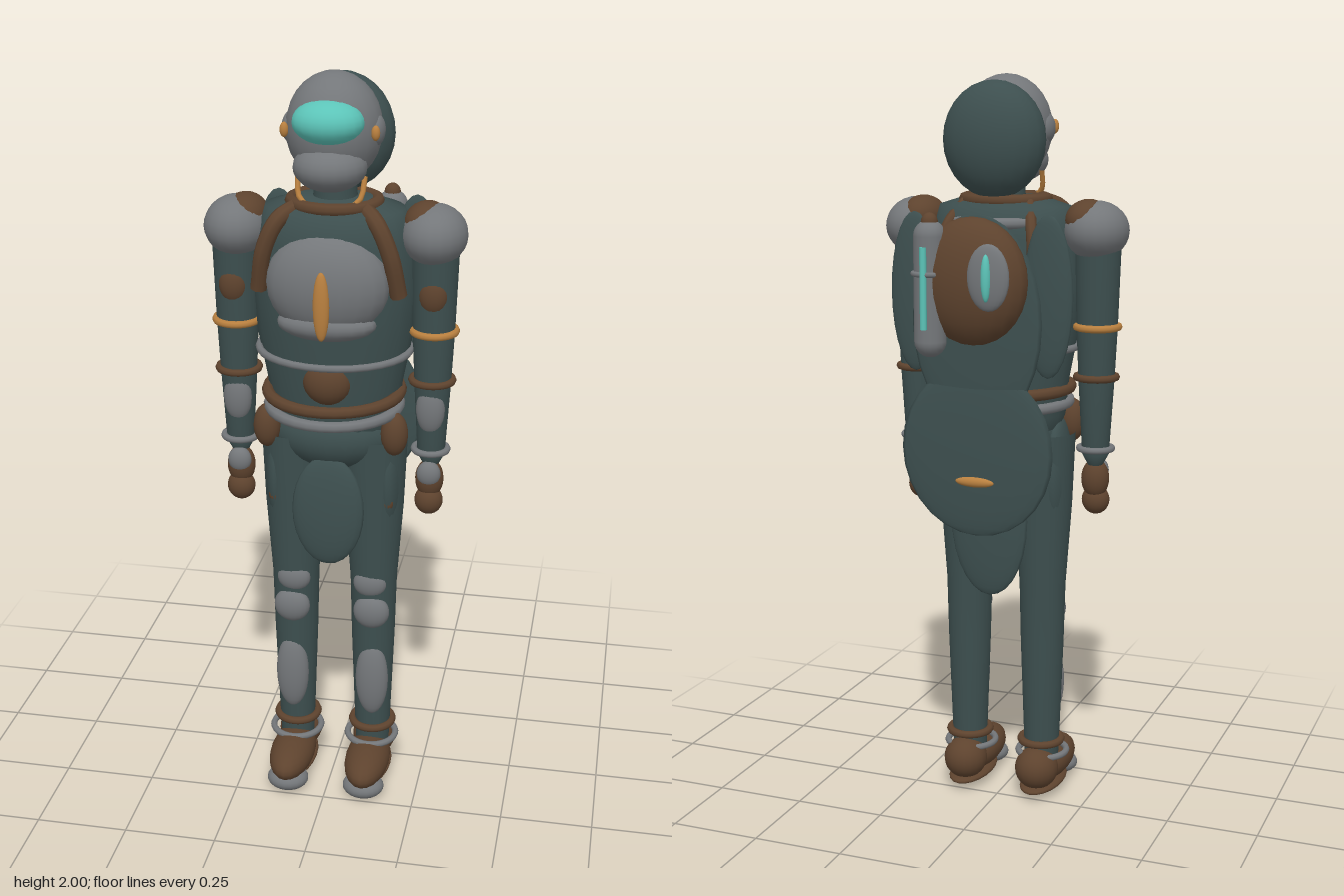
import * as THREE from 'three';

const paint = (name, color) => {
  const m = new THREE.MeshStandardMaterial({ color });
  m.name = name;
  return m;
};

export function createModel() {
  const model = new THREE.Group();
  model.name = 'armouredExplorer';
  const cloth = paint('darkSlate', 0x3d4f4f);
  const steel = paint('steelGrey', 0x74777a);
  const leather = paint('brownLeather', 0x5e432e);
  const brass = paint('brass', 0xb9803f);
  const glass = paint('tealGlass', 0x5cc4b8);

  const add = (name, geo, mat, p = [0, 0, 0]) => {
    const mesh = new THREE.Mesh(geo, mat);
    mesh.name = name;
    mesh.position.set(...p);
    model.add(mesh);
    return mesh;
  };
  // Ellipsoid from centre and radii
  const blob = (name, mat, p, r, tilt = 0) => {
    const m = add(name, new THREE.SphereGeometry(1, 20, 14), mat, p);
    m.scale.set(...r);
    m.rotation.x = tilt;
    return m;
  };
  // Horizontal oval ring
  const ring = (name, mat, p, rx, rz, tube) => {
    const g = new THREE.TorusGeometry(rx, tube, 8, 32).rotateX(Math.PI / 2);
    return add(name, g.scale(1, 1, rz / rx), mat, p);
  };
  // Turned body part from [radius, height] pairs, flattened in depth
  const turned = (name, mat, profile, p, depth = 1) => {
    const pts = profile.map(([r, y]) => new THREE.Vector2(r, y));
    return add(name, new THREE.LatheGeometry(pts, 24).scale(1, 1, depth), mat, p);
  };
  const tube = (name, mat, pts, r) => {
    const curve = new THREE.CatmullRomCurve3(pts.map(p => new THREE.Vector3(...p)));
    return add(name, new THREE.TubeGeometry(curve, 16, r, 8), mat);
  };

  // Head
  blob('helmet', steel, [0, 1.86, 0.07], [0.122, 0.14, 0.12]);
  blob('hood', cloth, [0, 1.832, -0.02], [0.14, 0.152, 0.09]);
  blob('jawGuard', steel, [0, 1.775, 0.125], [0.093, 0.062, 0.093]);
  blob('visor', glass, [0, 1.89, 0.15], [0.09, 0.056, 0.073]);
  turned('neck', cloth, [[0.065, 1.62], [0.055, 1.7], [0.06, 1.78]], [0, 0, 0.055]);

  // Torso
  turned('torso', cloth, [[0, 1.0], [0.14, 1.02], [0.17, 1.1], [0.18, 1.2], [0.205, 1.33], [0.212, 1.45],
    [0.205, 1.58], [0.18, 1.66], [0.1, 1.685], [0, 1.69]], [0, 0, 0.06], 0.7);
  blob('pelvis', cloth, [0, 1.05, 0.07], [0.165, 0.1, 0.115]);
  ring('collar', leather, [0, 1.675, 0.065], 0.11, 0.1, 0.017);
  add('rearCollar', new THREE.TorusGeometry(0.13, 0.015, 8, 20, Math.PI).rotateX(-Math.PI / 2), steel, [0, 1.62, 0.045]);
  tube('neckCord', brass, [[-0.085, 1.75, 0.11], [-0.075, 1.695, 0.135], [0, 1.665, 0.165], [0.075, 1.695, 0.135], [0.085, 1.75, 0.11]], 0.007);
  blob('chestPlate', steel, [0, 1.485, 0.165], [0.158, 0.138, 0.085]);
  blob('ribPlate', steel, [0, 1.385, 0.175], [0.128, 0.045, 0.066]);
  blob('chestOrnament', brass, [0, 1.45, 0.247], [0.021, 0.09, 0.015]);
  blob('bellyPad', leather, [0, 1.225, 0.165], [0.065, 0.065, 0.05]);
  ring('ribBand', steel, [0, 1.285, 0.067], 0.198, 0.172, 0.01);
  ring('belt', leather, [0, 1.17, 0.073], 0.175, 0.178, 0.016);
  ring('lowerBelt', steel, [0, 1.13, 0.071], 0.172, 0.178, 0.015);

  // Skirt flaps
  blob('frontFlap', cloth, [0, 0.855, 0.165], [0.097, 0.155, 0.027], -0.04);
  blob('rearFlap', cloth, [0, 0.825, -0.06], [0.11, 0.215, 0.022]);

  // Cape
  blob('upperCape', cloth, [0, 1.37, -0.148], [0.18, 0.28, 0.018]);
  blob('lowerCape', cloth, [0, 1.03, -0.15], [0.212, 0.23, 0.018]);
  blob('capeClasp', brass, [0, 0.95, -0.165], [0.055, 0.014, 0.012]);

  // Backpack with gauge and tank
  blob('backpack', leather, [0, 1.48, -0.175], [0.15, 0.165, 0.08]);
  blob('gaugeHousing', steel, [-0.072, 1.5, -0.25], [0.057, 0.085, 0.019]);
  blob('gaugeLens', glass, [-0.072, 1.5, -0.266], [0.013, 0.06, 0.014]);
  add('tank', new THREE.CapsuleGeometry(0.042, 0.27, 6, 16), steel, [0.105, 1.46, -0.206]);
  blob('tankCap', leather, [0.105, 1.63, -0.206], [0.022, 0.025, 0.022]);
  ring('tankBand', steel, [0.105, 1.5, -0.206], 0.043, 0.043, 0.007);
  add('tankLight', new THREE.CylinderGeometry(0.009, 0.009, 0.21, 10), glass, [0.105, 1.465, -0.25]);

  for (const s of [1, -1]) {
    const side = s > 0 ? 'left' : 'right';
    const n = part => side + part;

    // Helmet fittings, straps, cape wing and hip gear
    blob(n('EarDisc'), steel, [s * 0.105, 1.86, 0.08], [0.025, 0.04, 0.04]);
    blob(n('EarStud'), brass, [s * 0.114, 1.863, 0.13], [0.011, 0.019, 0.011]);
    tube(n('ChestStrap'), leather, [[s * 0.085, 1.67, 0.12], [s * 0.125, 1.645, 0.165], [s * 0.16, 1.57, 0.175], [s * 0.18, 1.46, 0.155]], 0.022);
    tube(n('BackStrap'), leather, [[s * 0.09, 1.67, 0.0], [s * 0.12, 1.6, -0.065], [s * 0.13, 1.45, -0.075]], 0.015);
    blob(n('CapeWing'), cloth, [s * 0.185, 1.44, -0.118], [0.068, 0.21, 0.02]);
    blob(n('HipPouch'), leather, [s * 0.17, 1.075, 0.13], [0.036, 0.06, 0.035]);
    blob(n('HipFlap'), cloth, [s * 0.152, 0.93, 0.07], [0.034, 0.165, 0.075]);
    blob(n('ThighBuckle'), leather, [s * 0.15, 0.875, 0.125], [0.02, 0.03, 0.014]);

    // Arm
    blob(n('ShoulderGuard'), steel, [s * 0.255, 1.598, 0.063], [0.085, 0.078, 0.1]);
    blob(n('ShoulderPad'), leather, [s * 0.235, 1.625, 0.055], [0.06, 0.055, 0.078]);
    turned(n('Arm'), cloth, [[0.02, 0.97], [0.036, 1.0], [0.048, 1.2], [0.055, 1.35], [0.062, 1.58]], [s * 0.259, 0, 0.065]);
    blob(n('ArmPad'), leather, [s * 0.26, 1.45, 0.1], [0.038, 0.054, 0.03]);
    ring(n('UpperArmBand'), brass, [s * 0.26, 1.345, 0.065], 0.056, 0.058, 0.01);
    ring(n('ElbowBand'), leather, [s * 0.258, 1.21, 0.067], 0.053, 0.053, 0.01);
    blob(n('ForearmPlate'), steel, [s * 0.258, 1.135, 0.09], [0.038, 0.07, 0.027]);
    ring(n('WristBand'), steel, [s * 0.258, 1.015, 0.068], 0.044, 0.044, 0.009);
    blob(n('Hand'), leather, [s * 0.257, 0.93, 0.072], [0.038, 0.055, 0.036]);
    blob(n('HandPlate'), steel, [s * 0.257, 0.95, 0.09], [0.032, 0.036, 0.023]);
    blob(n('Fingers'), leather, [s * 0.257, 0.87, 0.078], [0.038, 0.04, 0.034]);

    // Leg, leaning slightly outwards
    turned(n('Leg'), cloth, [[0.047, 0.1], [0.051, 0.2], [0.06, 0.45], [0.064, 0.62], [0.08, 0.85], [0.088, 1.05]], [s * 0.109, 0, 0.068]);
    blob(n('ThighPlate'), steel, [s * 0.106, 0.62, 0.113], [0.046, 0.042, 0.026]);
    blob(n('KneePlate'), steel, [s * 0.111, 0.535, 0.118], [0.05, 0.05, 0.029]);
    blob(n('ShinPlate'), steel, [s * 0.113, 0.32, 0.112], [0.046, 0.115, 0.03]);
    ring(n('AnkleStrap'), leather, [s * 0.108, 0.16, 0.066], 0.056, 0.058, 0.011);
    ring(n('AnkleRing'), steel, [s * 0.108, 0.122, 0.078], 0.068, 0.07, 0.009);

    // Boot
    blob(n('Boot'), leather, [s * 0.108, 0.075, 0.143], [0.062, 0.053, 0.134]);
    blob(n('Heel'), leather, [s * 0.108, 0.085, 0.03], [0.061, 0.06, 0.064]);
    blob(n('Sole'), leather, [s * 0.108, 0.028, 0.09], [0.058, 0.017, 0.12]);
    blob(n('ToeCap'), steel, [s * 0.108, 0.032, 0.215], [0.058, 0.032, 0.05]);
  }
  return model;
}
